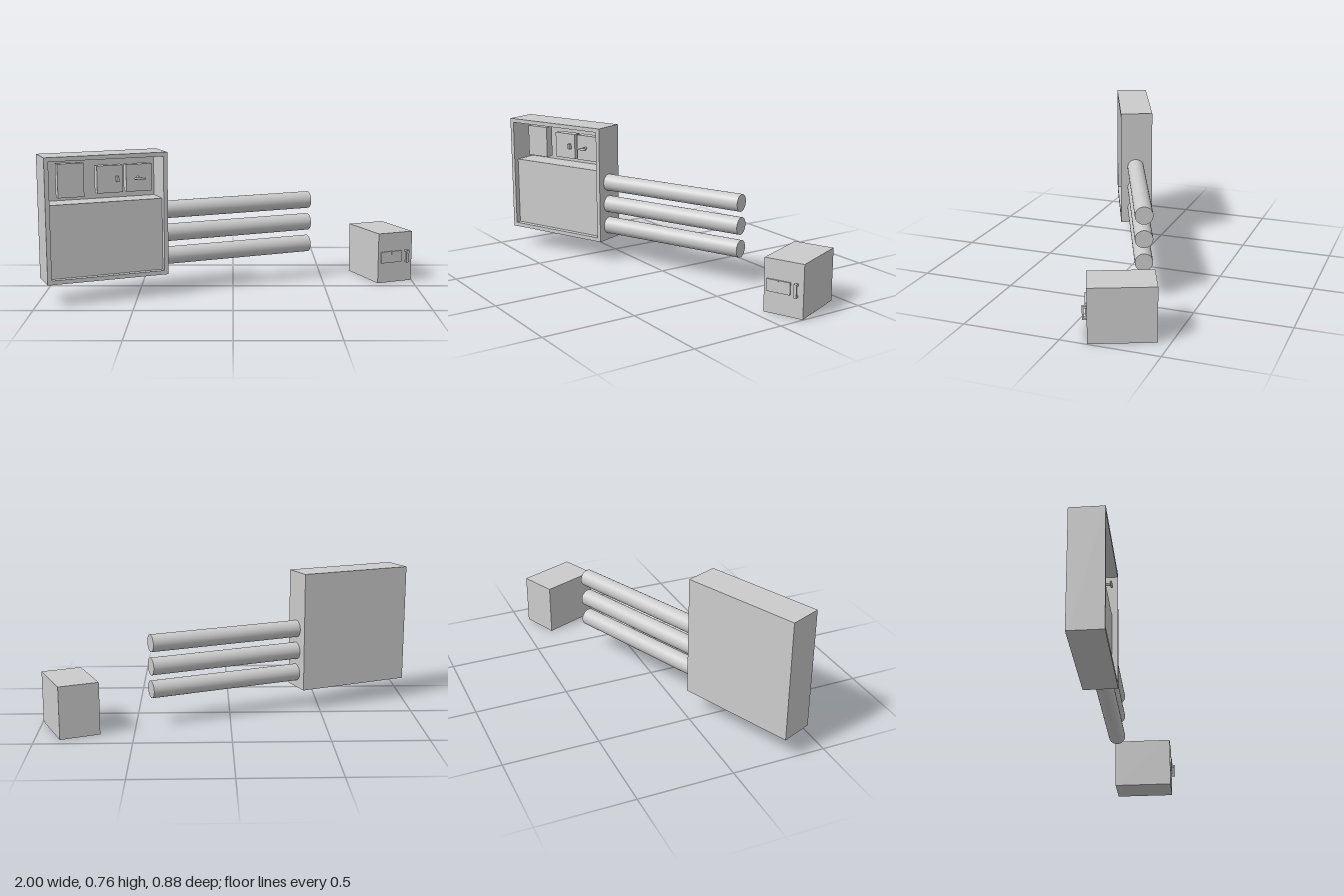
import * as THREE from 'three';

const grey = new THREE.MeshStandardMaterial({ color: 0xcccccc });
const TURN = 0.395; // whole assembly is yawed by this angle

function add(parent, name, geometry, x = 0, y = 0, z = 0) {
  const mesh = new THREE.Mesh(geometry, grey);
  mesh.name = name;
  mesh.position.set(x, y, z);
  parent.add(mesh);
  return mesh;
}

// Box given by its limits on each axis
function box(parent, name, [x0, x1], [y0, y1], [z0, z1]) {
  return add(parent, name, new THREE.BoxGeometry(x1 - x0, y1 - y0, z1 - z0),
    (x0 + x1) / 2, (y0 + y1) / 2, (z0 + z1) / 2);
}

function section(parent, name, x, z) {
  const g = new THREE.Group();
  g.name = name;
  g.position.set(x, 0, z);
  g.rotation.y = TURN;
  parent.add(g);
  return g;
}

function rectangle(path, x0, x1, y0, y1) {
  path.moveTo(x0, y0);
  path.lineTo(x1, y0);
  path.lineTo(x1, y1);
  path.lineTo(x0, y1);
  path.closePath();
  return path;
}

function buildCabinet(root) {
  const g = section(root, 'cabinet', -0.67, 0.2355);
  const W = 0.3215, front = 0.089, back = -0.089, wall = -0.073;
  const y0 = 0.113, y1 = 0.76, rim = 0.022;

  // Open frame with a back panel
  const shape = rectangle(new THREE.Shape(), -W, W, y0, y1);
  shape.holes.push(rectangle(new THREE.Path(), -W + rim, W - rim, y0 + rim, y1 - rim));
  add(g, 'cabinetFrame',
    new THREE.ExtrudeGeometry(shape, { depth: front - wall, bevelEnabled: false }), 0, 0, wall);
  box(g, 'backPanel', [-W, W], [y0, y1], [back, wall]);

  // Lower cover, set back from the rim
  box(g, 'lowerCover', [-W + rim, W - rim], [y0 + rim, 0.515], [wall, 0.059]);

  // Three devices in the upper bay
  const face = 0.025, rear = -0.023;
  box(g, 'tallDevice', [-0.241, -0.105], [0.543, 0.717], [rear, face]);
  box(g, 'switchBox', [-0.037, 0.1], [0.555, 0.697], [rear, face]);
  box(g, 'leverBox', [0.118, 0.255], [0.555, 0.697], [rear, face]);
  box(g, 'switchToggle', [0.062, 0.075], [0.612, 0.641], [face, face + 0.02]);

  // Lever on a short stem
  const stem = add(g, 'leverStem', new THREE.CylinderGeometry(0.007, 0.007, 0.042, 16), 0.18, 0.627, face + 0.021);
  stem.rotation.x = Math.PI / 2;
  const lever = add(g, 'lever', new THREE.CapsuleGeometry(0.006, 0.052, 6, 16), 0.18, 0.627, face + 0.042);
  lever.rotation.z = Math.PI / 2;

  // Stack of pipes leaving the right-hand end
  const x0 = W - 0.002, x1 = 1.176;
  [0.196, 0.32, 0.4445].forEach((y) => {
    const pipe = add(g, 'pipe', new THREE.CylinderGeometry(0.0465, 0.0465, x1 - x0, 40), (x0 + x1) / 2, y, 0.005);
    pipe.rotation.z = Math.PI / 2;
  });
}

function buildSmallBox(root) {
  const g = section(root, 'smallBox', 0.836, -0.249);
  const W = 0.1065, H = 0.278, front = 0.1635, back = -0.1635;
  box(g, 'boxBody', [-W, W], [0, H], [back, front - 0.011]);
  box(g, 'boxDoor', [-W, W], [0, H], [front - 0.011, front]);

  // Two plates side by side on the door
  for (const x of [-0.09, -0.026]) {
    box(g, 'doorPlate', [x, x + 0.063], [0.112, 0.175], [front, front + 0.008]);
  }

  // Upright handle with a post at each end
  box(g, 'handleBar', [0.062, 0.078], [0.108, 0.177], [front + 0.014, front + 0.022]);
  for (const y of [0.108, 0.167]) {
    box(g, 'handlePost', [0.062, 0.078], [y, y + 0.01], [front, front + 0.014]);
  }
}

export function createModel() {
  const root = new THREE.Group();
  root.name = 'cabinetPipesAndBox';
  buildCabinet(root);
  buildSmallBox(root);
  return root;
}
